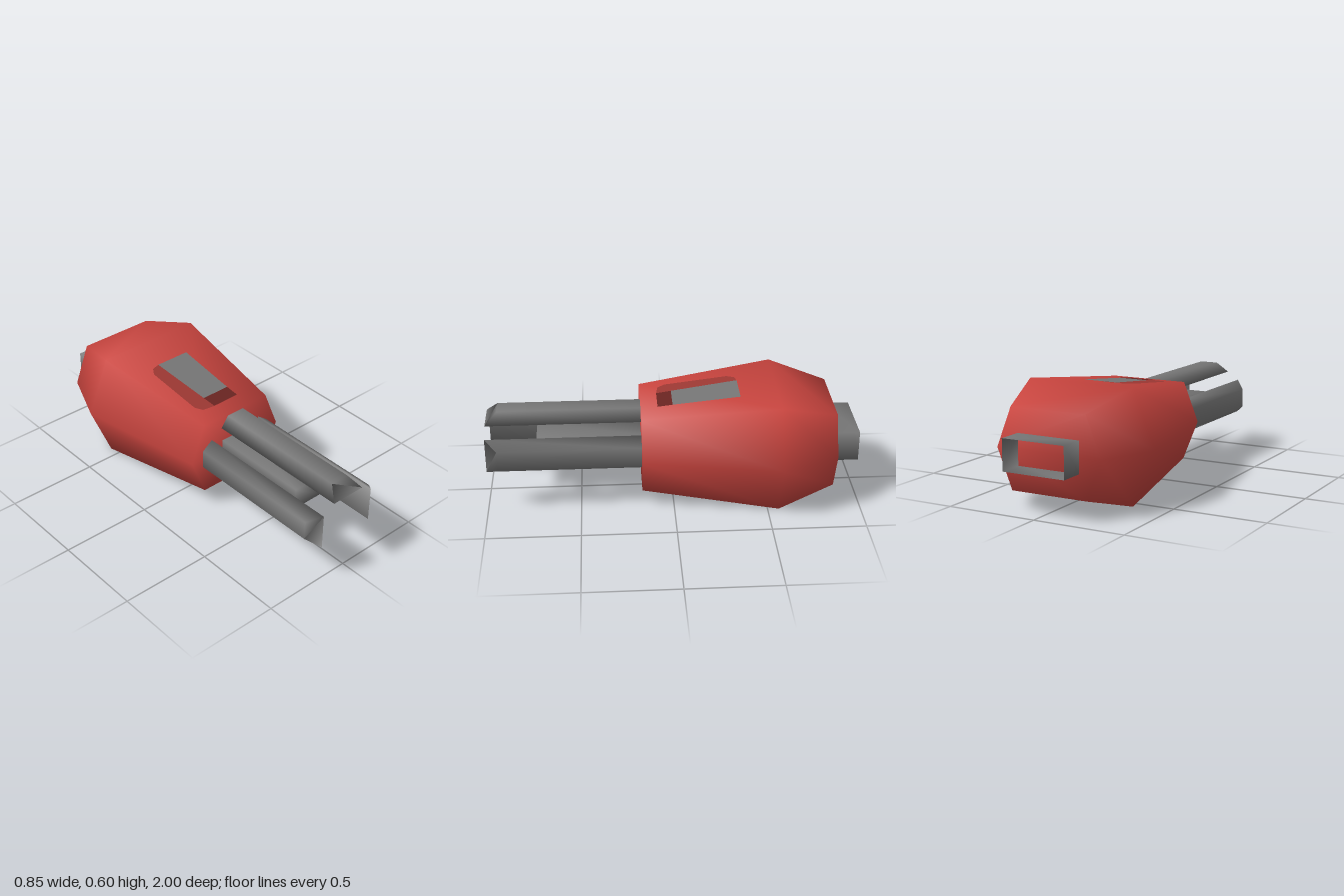
import * as THREE from 'three';

// Smooth skin over cross-sections running front to back, corners counter-clockwise seen from the front
function loft(sections, capped = true) {
  const n = sections[0].length;
  const index = [];
  for (let s = 0; s < sections.length - 1; s++) {
    for (let i = 0; i < n; i++) {
      const a = s * n + i, b = s * n + (i + 1) % n, c = a + n, d = b + n;
      index.push(a, c, b, b, c, d);
    }
  }
  const last = (sections.length - 1) * n;
  for (let i = 1; capped && i < n - 1; i++) {
    index.push(0, i, i + 1, last, last + i + 1, last + i);
  }
  const geometry = new THREE.BufferGeometry();
  geometry.setAttribute('position', new THREE.Float32BufferAttribute(sections.flat(2), 3));
  geometry.setIndex(index);
  geometry.computeVertexNormals();
  return geometry;
}

const MID = 0.303;
const hexagon = (wide, flat, half, z) => [
  [wide, MID, z], [flat, MID + half, z], [-flat, MID + half, z],
  [-wide, MID, z], [-flat, MID - half, z], [flat, MID - half, z],
];
const rectangle = (x, y0, y1, z) => [[x, y0, z], [x, y1, z], [-x, y1, z], [-x, y0, z]];

// Thin plate lying on the sloping front part of the roof, outlined in x and z
function roofPlate(outline, lift) {
  const shape = new THREE.Shape(outline.map(([x, z]) => new THREE.Vector2(x, z)));
  const geometry = new THREE.ShapeGeometry(shape);
  const p = geometry.attributes.position;
  for (let i = 0; i < p.count; i++) {
    const z = p.getY(i);
    p.setXYZ(i, p.getX(i), 0.516 + 0.0885 * (0.17 - z) / 0.73 + lift, z);
  }
  geometry.computeVertexNormals();
  return geometry;
}

export function createModel() {
  const model = new THREE.Group();
  const paint = (name, color) => {
    const material = new THREE.MeshStandardMaterial({ color, side: THREE.DoubleSide });
    material.name = name;
    return material;
  };
  const red = paint('red', 0xc8443e);
  const grey = paint('grey', 0x757575);
  const shadeRed = paint('dark red', 0x9c3833);
  const deepRed = paint('deep red', 0x6a2421);

  const add = (name, geometry, material) => {
    const mesh = new THREE.Mesh(geometry, material);
    mesh.name = name;
    model.add(mesh);
    return mesh;
  };

  // Hexagonal hull, widest towards the rear
  add('hull', loft([
    hexagon(0.3, 0.215, 0.213, 0.17),
    hexagon(0.426, 0.302, 0.302, -0.56),
    hexagon(0.3, 0.215, 0.213, -0.865),
  ]), red);

  // Three bevelled prongs around the barrel, ends cut at a slant
  const prong = (z0, z1) => [[0.0975, 0, z0], [0.052, 0.061, z1], [-0.052, 0.061, z1], [-0.0975, 0, z0]];
  const prongGeometry = loft([prong(1, 0.935), prong(0.165, 0.165)]);
  for (const [name, angle, offset] of [
    ['topProng', 0, 0.142], ['leftProng', -Math.PI / 2, 0.165], ['rightProng', Math.PI / 2, 0.165],
  ]) {
    const mesh = add(name, prongGeometry, grey);
    mesh.rotation.z = angle;
    mesh.position.set(-Math.sin(angle) * offset, MID + Math.cos(angle) * offset, 0);
  }

  // Central barrel and open rear exhaust
  add('barrel', loft([rectangle(0.09, 0.243, 0.363, 0.73), rectangle(0.09, 0.243, 0.363, 0.165)]), grey);
  add('exhaust', loft([rectangle(0.176, 0.22, 0.386, -0.86), rectangle(0.176, 0.22, 0.386, -1)], false), grey);

  // Roof hatch markings
  add('hatchSurround', roofPlate([
    [-0.1, -0.36], [-0.14, -0.35], [-0.165, -0.31], [-0.165, 0.03], [-0.14, 0.07],
    [-0.07, 0.08], [0, 0.08], [0, -0.36],
  ], 0.001), shadeRed);
  add('hatch', roofPlate([[-0.095, -0.36], [-0.075, 0], [0.09, 0], [0.103, -0.36]], 0.003), grey);
  add('hatchLip', roofPlate([[-0.075, 0], [-0.07, 0.08], [0.09, 0.08], [0.09, 0]], 0.003), deepRed);

  return model;
}
